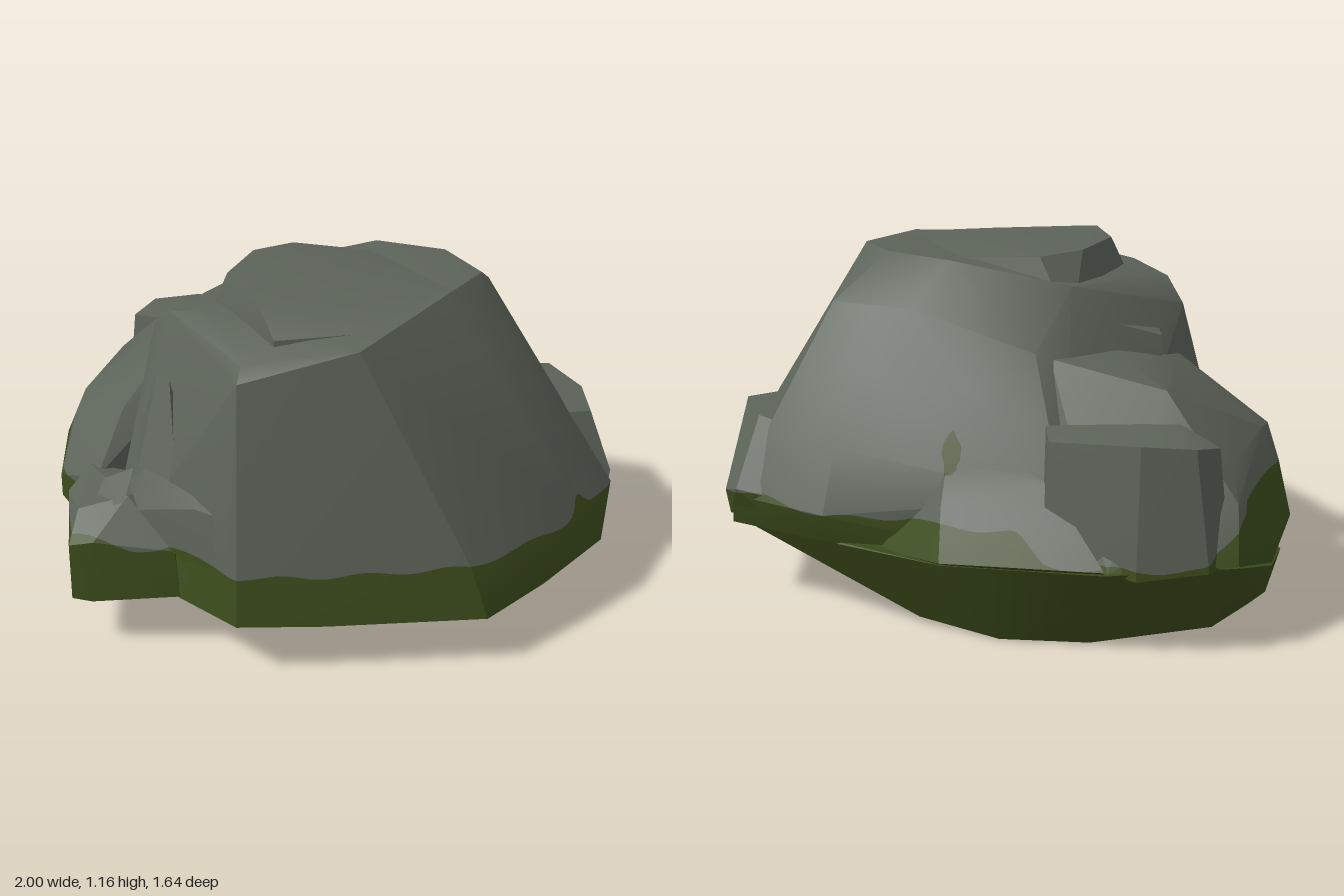
import * as THREE from 'three';
import { ConvexGeometry } from 'three/addons/geometries/ConvexGeometry.js';
import { toCreasedNormals } from 'three/addons/utils/BufferGeometryUtils.js';

const stone = new THREE.MeshStandardMaterial({ color: 0x5c6359 });
stone.name = 'grey stone';
const moss = new THREE.MeshStandardMaterial({ color: 0x3c4c1c });
moss.name = 'green moss';

// Height of the ragged moss edge around the rock, with one stray patch at the back
function mossHeight(x, z) {
  const { smoothstep } = THREE.MathUtils;
  const wave = 0.01 * Math.sin(7 * x + 4 * z) + 0.008 * Math.sin(19 * x - 13 * z);
  const left = 0.11 * smoothstep(-x, 0.7, 0.93) * smoothstep(z, -0.45, -0.25);
  const spur = 0.05 * smoothstep(z - x, 1.0, 1.25);
  const back = -0.07 * smoothstep(-x, 0.35, 0.5) * smoothstep(-z, 0.35, 0.5);
  const flank = 0.06 * smoothstep(x, 0.7, 0.8) * Math.exp(-((z + 0.12) ** 2) / 0.002);
  const patch = 0.3 * Math.exp(-((x + 0.08) ** 2 + (z + 0.6) ** 2) / 0.003);
  return 0.36 + wave + left + spur + back + flank + patch;
}

const mix = (a, b, t) => ({
  p: a.p.clone().lerp(b.p, t),
  n: a.n.clone().lerp(b.n, t).normalize(),
});

// Split triangles near the moss edge into four, several times, so the edge can waver
function subdivide(tri, depth, out) {
  const ys = tri.map((v) => v.p.y);
  if (depth === 0 || Math.min(...ys) > 0.7 || Math.max(...ys) < 0.2) { out.push(tri); return; }
  const [a, b, c] = tri;
  const ab = mix(a, b, 0.5), bc = mix(b, c, 0.5), ca = mix(c, a, 0.5);
  for (const t of [[a, ab, ca], [ab, b, bc], [ca, bc, c], [ab, bc, ca]]) subdivide(t, depth - 1, out);
}

// Keep the part of a triangle above (side 1) or below (side -1) the moss edge
function clip(tri, side) {
  const height = (v) => side * (v.p.y - mossHeight(v.p.x, v.p.z));
  const poly = [];
  tri.forEach((a, i) => {
    const b = tri[(i + 1) % 3], ha = height(a), hb = height(b);
    if (ha >= 0) poly.push(a);
    if (ha * hb < 0) poly.push(mix(a, b, ha / (ha - hb)));
  });
  const out = [];
  for (let i = 1; i + 1 < poly.length; i++) out.push(poly[0], poly[i], poly[i + 1]);
  return out;
}

// A chiselled lump through corner points, stone above and moss below
function lump(name, corners, crease = 0.5) {
  const hull = new ConvexGeometry(corners.map((c) => new THREE.Vector3(...c)));
  const geo = toCreasedNormals(hull, crease);
  const { position, normal } = geo.attributes;
  const tris = [];
  for (let i = 0; i < position.count; i += 3) {
    const tri = [0, 1, 2].map((k) => ({
      p: new THREE.Vector3().fromBufferAttribute(position, i + k),
      n: new THREE.Vector3().fromBufferAttribute(normal, i + k),
    }));
    subdivide(tri, 4, tris);
  }
  const upper = tris.flatMap((t) => clip(t, 1));
  const lower = tris.flatMap((t) => clip(t, -1));
  const all = [...upper, ...lower];
  const painted = new THREE.BufferGeometry();
  painted.setAttribute('position', new THREE.Float32BufferAttribute(all.flatMap((v) => v.p.toArray()), 3));
  painted.setAttribute('normal', new THREE.Float32BufferAttribute(all.flatMap((v) => v.n.toArray()), 3));
  painted.addGroup(0, upper.length, 0);
  painted.addGroup(upper.length, lower.length, 1);
  const mesh = new THREE.Mesh(painted, [stone, moss]);
  mesh.name = name;
  return mesh;
}

export function createModel() {
  const rock = new THREE.Group();
  rock.name = 'mossyRock';

  // Main boulder: crown, shoulders, rim and underside
  rock.add(lump('mainBoulder', [
    [0.05, 0.98, 0.63], [0.04, 1.02, 0.58], [0.38, 1.08, 0.45], [0.42, 1.09, 0.33], [-0.22, 1.05, 0.33],
    [-0.37, 1.01, 0.29], [-0.45, 0.93, 0.25], [-0.25, 1.03, -0.15], [0.5, 1.13, 0.05], [0.53, 1.12, -0.2],
    [0.35, 1.12, -0.33], [0.1, 1.11, -0.33], [0.58, 1.06, -0.1], [0.83, 0.61, -0.15], [0.45, 0.97, -0.5],
    [0.15, 0.97, -0.48], [0.28, 0.55, -0.74], [0.27, 0.35, -0.82], [0.05, 0.45, -0.66], [-0.15, 0.5, -0.58],
    [-0.25, 0.85, -0.38], [-0.45, 0.45, -0.55], [0.66, 0.35, -0.79], [0.68, 0.25, -0.77], [0.97, 0.35, -0.38],
    [1.0, 0.22, -0.2], [0.96, 0.35, -0.1], [0.9, 0.19, 0.1], [0.84, 0.36, 0.2], [0.8, 0.18, 0.36],
    [0.74, 0.36, 0.37], [0.35, 0.18, 0.62], [0.1, 0.19, 0.76], [0.06, 0.36, 0.73], [-0.13, 0.2, 0.69],
    [-0.45, 0.2, 0.6], [-0.45, 0.5, 0.48], [-0.55, 0.2, 0.42], [-0.55, 0.2, -0.5], [0.25, 0.25, -0.78],
    [0.75, 0.16, 0.28], [0.1, 0.17, 0.68],
  ]));

  // Raised slab on the crown
  rock.add(lump('crownSlab', [
    [-0.2, 1.14, 0.2], [-0.23, 1.04, 0.24], [-0.1, 1.16, 0.28], [0.0, 1.14, 0.38], [0.1, 1.07, 0.47],
    [0.1, 1.0, 0.47], [0.38, 1.09, 0.32], [0.2, 1.155, 0.08], [-0.22, 1.13, -0.03], [-0.14, 1.12, -0.17],
    [0.5, 1.13, 0], [0.5, 1.1, -0.15], [0.2, 1.1, -0.28], [-0.28, 0.9, -0.2], [-0.28, 0.95, 0.1],
  ]));

  // Lower ledge on the rock's right, stepping down from the boulder
  rock.add(lump('sideLedge', [
    [-0.88, 0.55, -0.25], [-0.76, 0.66, -0.3], [-0.66, 0.76, -0.27], [-0.48, 0.82, -0.2],
    [-0.28, 0.83, -0.34], [-0.3, 0.83, 0], [-0.48, 0.77, 0.18], [-0.53, 0.64, 0.35], [-0.8, 0.57, 0.15],
    [-0.76, 0.55, 0.28], [-0.95, 0.46, -0.35], [-0.98, 0.28, -0.4], [-1.0, 0.3, -0.2], [-1.0, 0.24, -0.2],
    [-0.95, 0.32, 0.05], [-0.88, 0.22, 0.02], [-0.74, 0.38, 0.43], [-0.74, 0.3, 0.43], [-0.66, 0.21, 0.37],
    [-0.55, 0.2, 0.5], [-0.55, 0.45, 0.5], [-0.66, 0.27, -0.64], [-0.3, 0.2, -0.6],
  ], 0.4));

  // Square block standing behind the ledge
  rock.add(lump('ledgeBlock', [
    [-0.89, 0.63, -0.36], [-0.87, 0.65, -0.48], [-0.73, 0.66, -0.57], [-0.43, 0.64, -0.6], [-0.36, 0.66, -0.5],
    [-0.72, 0.67, -0.3], [-0.9, 0.45, -0.34], [-0.92, 0.27, -0.48], [-0.74, 0.25, -0.61], [-0.43, 0.3, -0.64],
    [-0.36, 0.3, -0.52], [-0.93, 0.27, -0.36],
  ], 0.3));

  // Pointed spur at the front
  rock.add(lump('frontSpur', [
    [-0.47, 0.18, 0.82], [-0.4, 0.18, 0.81], [-0.47, 0.38, 0.82], [-0.39, 0.4, 0.8], [-0.49, 0.46, 0.72],
    [-0.64, 0.4, 0.54], [-0.64, 0.2, 0.54], [-0.6, 0.47, 0.46], [-0.35, 0.5, 0.64], [-0.14, 0.2, 0.69],
    [-0.16, 0.36, 0.68], [-0.3, 0.45, 0.4], [-0.66, 0.22, 0.4],
  ], 0.3));

  // Small stones and a fin leaning against the front wall
  rock.add(lump('frontStone', [
    [-0.32, 0.58, 0.58], [-0.12, 0.59, 0.63], [-0.09, 0.53, 0.67], [0.05, 0.53, 0.69], [0.05, 0.36, 0.72],
    [-0.13, 0.34, 0.69], [-0.32, 0.46, 0.65], [-0.38, 0.52, 0.58], [-0.1, 0.6, 0.5], [-0.3, 0.4, 0.4],
  ], 0.3));
  rock.add(lump('frontFin', [
    [-0.33, 0.87, 0.45], [-0.27, 0.86, 0.48], [-0.18, 0.58, 0.62], [-0.34, 0.58, 0.58], [-0.4, 0.66, 0.45],
    [-0.25, 0.6, 0.4],
  ], 0.3));
  rock.add(lump('spurChip', [
    [-0.46, 0.52, 0.6], [-0.36, 0.57, 0.58], [-0.34, 0.5, 0.68], [-0.47, 0.43, 0.68], [-0.45, 0.45, 0.45],
  ], 0.3));

  // Small chunk leaning on the ledge under the crown's cliff
  rock.add(lump('ledgeChip', [
    [-0.48, 0.86, 0.04], [-0.42, 0.87, 0.13], [-0.27, 0.93, -0.1], [-0.25, 0.93, 0.0],
    [-0.48, 0.76, 0.04], [-0.42, 0.76, 0.14], [-0.27, 0.78, -0.12],
  ], 0.3));

  // Chunks bulging from the back
  rock.add(lump('backLeftChunk', [
    [0.47, 0.57, -0.66], [0.63, 0.6, -0.68], [0.8, 0.61, -0.53], [0.87, 0.58, -0.42], [0.6, 0.63, -0.5],
    [0.47, 0.36, -0.78], [0.63, 0.38, -0.81], [0.7, 0.36, -0.78], [0.69, 0.28, -0.77], [0.96, 0.38, -0.4],
    [0.5, 0.28, -0.78], [0.95, 0.28, -0.4], [0.75, 0.6, -0.3],
  ], 0.3));
  rock.add(lump('backRightChunk', [
    [-0.17, 0.27, -0.82], [-0.12, 0.42, -0.73], [-0.06, 0.54, -0.6], [-0.1, 0.58, -0.52], [-0.42, 0.5, -0.58],
    [-0.4, 0.28, -0.76], [-0.66, 0.28, -0.66], [0.1, 0.25, -0.75], [0.0, 0.4, -0.68],
    [-0.5, 0.15, -0.5], [0, 0.15, -0.6],
  ], 0.4));

  // Sunken keel under the back and right
  rock.add(lump('keel', [
    [-0.88, 0.05, -0.1], [-0.75, 0.05, 0.1], [-0.87, 0.05, -0.35], [-0.55, 0, -0.55], [-0.3, 0.005, -0.68],
    [0, 0.02, -0.68], [0.25, 0.06, -0.5], [0.2, 0.06, -0.1], [-0.1, 0.04, 0.1], [-0.5, 0.04, 0.15],
    [0.55, 0.17, 0], [0.66, 0.25, -0.74], [-0.2, 0.17, 0.3], [-0.92, 0.2, 0.05], [-0.98, 0.14, -0.2],
    [-1.0, 0.23, -0.2], [-0.98, 0.27, -0.38], [-0.66, 0.27, -0.66], [-0.17, 0.26, -0.81], [0.25, 0.25, -0.78],
    [-0.6, 0.2, 0.36],
  ], 0.6));

  return rock;
}
